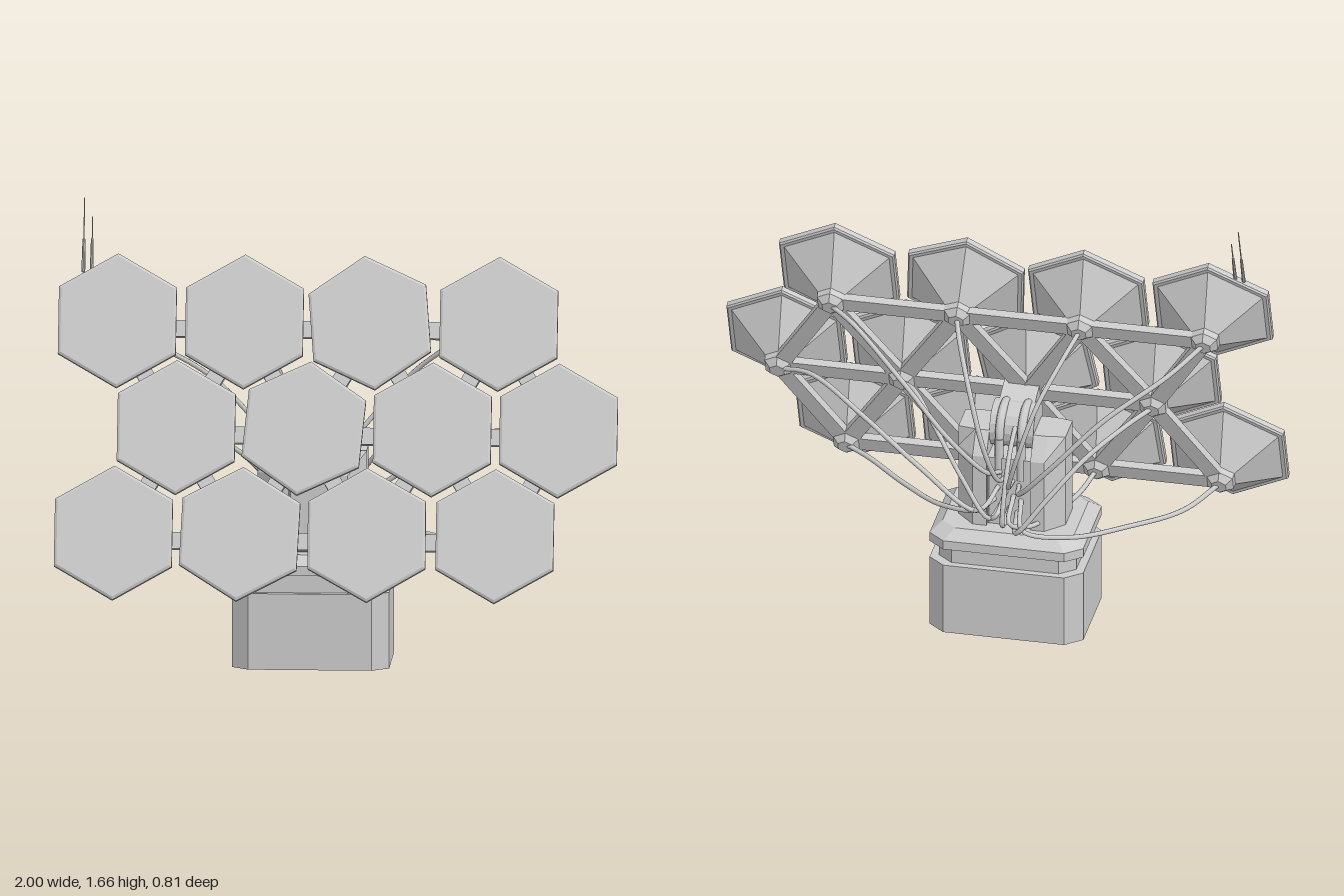
import * as THREE from 'three';

const material = new THREE.MeshStandardMaterial({ color: 0xcccccc, flatShading: true });
const smooth = new THREE.MeshStandardMaterial({ color: 0xcccccc });

function add(parent, name, geometry, mat = material) {
  const mesh = new THREE.Mesh(geometry, mat);
  mesh.name = name;
  parent.add(mesh);
  return mesh;
}

// Solid from stacked horizontal rings: [height, [[x, z], ...]], counter-clockwise from above
function stack(rings) {
  const n = rings[0][1].length;
  const positions = rings.flatMap(([y, loop]) => loop.flatMap(([x, z]) => [x, y, z]));
  const index = [];
  for (let r = 0; r < rings.length - 1; r++) {
    for (let i = 0; i < n; i++) {
      const a = r * n + i, b = r * n + (i + 1) % n;
      index.push(a, b, b + n, a, b + n, a + n);
    }
  }
  const top = (rings.length - 1) * n;
  for (let i = 1; i < n - 1; i++) index.push(top, top + i, top + i + 1, 0, i + 1, i);
  const geometry = new THREE.BufferGeometry();
  geometry.setAttribute('position', new THREE.Float32BufferAttribute(positions, 3));
  geometry.setIndex(index);
  const flat = geometry.toNonIndexed();
  flat.computeVertexNormals();
  return flat;
}

const octagon = (hx, hz, cx, cz) => [
  [-hx + cx, hz], [hx - cx, hz], [hx, hz - cz], [hx, -hz + cz],
  [hx - cx, -hz], [-hx + cx, -hz], [-hx, -hz + cz], [-hx, hz - cz],
];

// Six-sided solid of revolution facing +z
function hexLathe(profile) {
  const points = profile.map(([r, z]) => new THREE.Vector2(r, z));
  return new THREE.LatheGeometry(points, 6).rotateX(Math.PI / 2);
}

// Straight beam between two points in the dish plane
function beam(parent, a, b, width, depth) {
  const d = b.clone().sub(a);
  const mesh = add(parent, 'latticeBeam', new THREE.BoxGeometry(d.length(), width, depth));
  mesh.position.copy(a).add(b).multiplyScalar(0.5);
  mesh.rotation.z = Math.atan2(d.y, d.x);
}

export function createModel() {
  const model = new THREE.Group();
  model.name = 'panelArray';

  // Pedestal
  const mount = new THREE.Group();
  mount.name = 'mount';
  mount.position.set(-0.1, 0, -0.105);
  model.add(mount);
  const body = octagon(0.28, 0.205, 0.06, 0.05);
  add(mount, 'base', stack([[0, body], [0.275, body]]));
  const neck = octagon(0.25, 0.18, 0.055, 0.045);
  add(mount, 'neck', stack([[0.27, neck], [0.345, neck]]));
  add(mount, 'cap', stack([[0.34, body], [0.375, body], [0.41, octagon(0.24, 0.165, 0.055, 0.045)]]));

  // Yoke: two chamfered cheeks with a core between them
  const cheek = (hz) => [[0.08, hz], [0.13, hz], [0.195, 0.06], [0.195, -0.06], [0.13, -hz], [0.08, -hz]];
  for (const side of [1, -1]) {
    const rings = [[0.405, cheek(0.125)], [0.69, cheek(0.125)], [0.77, cheek(0.07)]];
    if (side < 0) for (const ring of rings) ring[1] = ring[1].map(([x, z]) => [-x, z]).reverse();
    add(mount, 'yokeCheek', stack(rings));
  }
  const core = octagon(0.085, 0.105, 0.01, 0.01);
  add(mount, 'yokeCore', stack([[0.405, core], [0.68, core]]));

  // Pivot drum with two curved bands behind it
  const drum = add(mount, 'pivotDrum', new THREE.CylinderGeometry(0.085, 0.085, 0.16, 16).rotateZ(Math.PI / 2));
  drum.position.set(0, 0.765, 0.01);
  for (const x of [-0.04, 0.04]) {
    const band = add(mount, 'pivotBand', new THREE.TorusGeometry(0.09, 0.016, 8, 20, Math.PI).rotateY(-Math.PI / 2), smooth);
    band.position.set(x, 0.755, 0);
    const drop = add(mount, 'bandTail', new THREE.CylinderGeometry(0.016, 0.016, 0.16, 8), smooth);
    drop.position.set(x, 0.675, -0.095);
  }
  const arm = add(mount, 'dishArm', new THREE.BoxGeometry(0.13, 0.11, 0.16));
  arm.position.set(0, 0.8, 0.06);
  arm.rotation.x = -0.354;

  // Tilted dish: three staggered rows of hexagonal panels
  const dish = new THREE.Group();
  dish.name = 'dish';
  dish.position.set(0, 0.89, 0.18);
  dish.rotation.x = -0.354;
  model.add(dish);
  dish.updateMatrix();
  const pitch = 0.384;
  const panels = [];
  [
    { y: pitch, xs: [-0.79, -0.337, 0.11, 0.57], roll: [0, 0, 0.09, 0] },
    { y: 0, xs: [-0.573, -0.118, 0.34, 0.79], roll: [0, -0.09, 0, 0] },
    { y: -pitch, xs: [-0.79, -0.34, 0.113, 0.57], roll: [0, -0.04, 0.01, 0] },
  ].forEach(({ y, xs, roll }, row) => xs.forEach((x, i) => panels.push({ x, y, row, roll: roll[i] })));

  const plate = hexLathe([[0, -0.032], [0.236, -0.032], [0.2425, -0.026], [0.2425, -0.006], [0.232, 0], [0, 0]]);
  const cone = hexLathe([[0.05, -0.16], [0.222, -0.031]]);
  const hub = hexLathe([[0, -0.2], [0.03, -0.2], [0.055, -0.178], [0.058, -0.15], [0.04, -0.13]]);
  for (const { x, y, roll } of panels) {
    const panel = new THREE.Group();
    panel.name = 'panel';
    panel.position.set(x, y, 0);
    panel.rotation.z = roll;
    dish.add(panel);
    add(panel, 'panelFace', plate);
    add(panel, 'panelBack', cone);
    add(panel, 'panelHub', hub);
  }

  // Triangular lattice joining neighbouring hubs
  panels.forEach((p, i) => panels.slice(i + 1).forEach((q) => {
    const a = new THREE.Vector3(p.x, p.y, -0.165), b = new THREE.Vector3(q.x, q.y, -0.165);
    if (a.distanceTo(b) < 0.52) beam(dish, a, b, 0.06, 0.03);
  }));

  // Antennas on the upper corner panel
  for (const [x, length] of [[-0.915, 0.27], [-0.885, 0.2]]) {
    const antenna = new THREE.Group();
    antenna.name = 'antenna';
    antenna.position.set(x, 0.56, -0.018);
    dish.add(antenna);
    add(antenna, 'antennaSleeve', new THREE.CylinderGeometry(0.005, 0.007, 0.12, 8)).position.y = 0.06;
    add(antenna, 'antennaRod', new THREE.CylinderGeometry(0.002, 0.003, length, 6)).position.y = length / 2;
  }

  // Cables: per row, [fraction of the hub's sideways offset, y, z] down to the yoke
  const routes = [
    [[0.85, 1.14, -0.23], [0.55, 1.0, -0.35], [0.28, 0.8, -0.385], [0.1, 0.65, -0.33], [0.05, 0.6, -0.21]],
    [[0.85, 0.83, -0.08], [0.6, 0.76, -0.22], [0.35, 0.63, -0.31], [0.12, 0.49, -0.335], [0.06, 0.49, -0.21]],
    [[0.85, 0.44, 0.04], [0.6, 0.44, -0.12], [0.35, 0.46, -0.27], [0.12, 0.5, -0.335], [0.06, 0.54, -0.21]],
  ];
  panels.forEach(({ x, y, row }, i) => {
    const start = new THREE.Vector3(x, y, -0.185).applyMatrix4(dish.matrix);
    const spread = (i % 4 - 1.5) * 0.016;
    const points = routes[row].map(([f, py, pz], k) =>
      new THREE.Vector3(-0.1 + (x + 0.1) * f, py + spread, pz + (k < 4 ? spread : 0)));
    const curve = new THREE.CatmullRomCurve3([start, ...points]);
    add(model, 'cable', new THREE.TubeGeometry(curve, 40, 0.009, 8), smooth);
  });

  return model;
}
